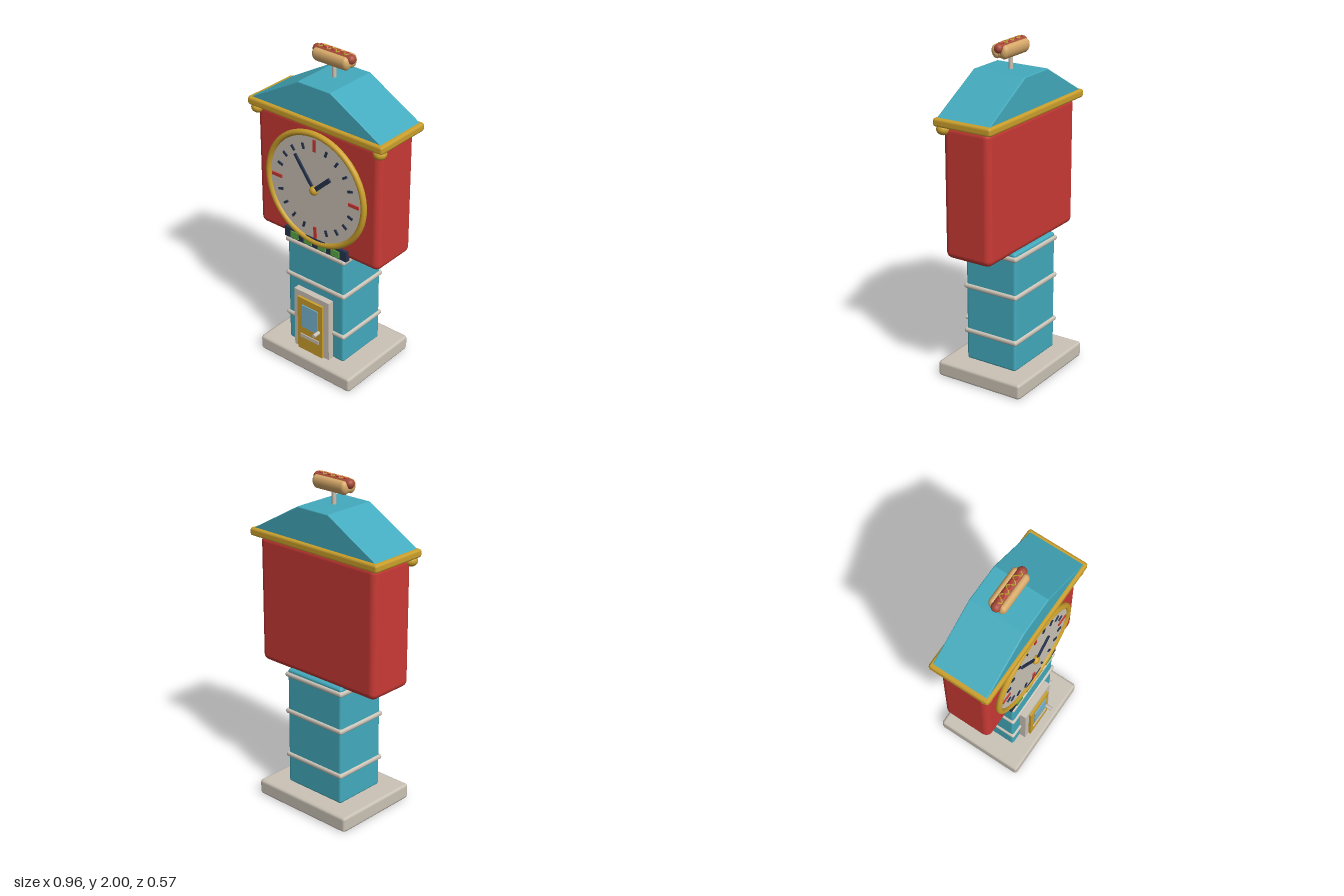
import * as THREE from 'three';
import { RoundedBoxGeometry } from 'three/addons/geometries/RoundedBoxGeometry.js';

function material(name, color) {
  const m = new THREE.MeshStandardMaterial({ color });
  m.name = name;
  return m;
}

export function createModel() {
  const teal = material('teal', 0x43abbe);
  const red = material('red', 0xca3a35);
  const gold = material('gold', 0xcca02c);
  const cream = material('cream', 0xcbc3b6);
  const navy = material('navy', 0x27344e);
  const green = material('green', 0x5aa845);
  const glass = material('glass blue', 0x78b6d2);
  const bun = material('bun tan', 0xd8aa6a);
  const sausage = material('sausage brown', 0xa64a38);
  const mustard = material('mustard', 0xc2a42c);

  const model = new THREE.Group();
  model.name = 'clockTower';

  function add(name, geometry, mat, x, y, z, parent = model) {
    const mesh = new THREE.Mesh(geometry, mat);
    mesh.name = name;
    mesh.position.set(x, y, z);
    parent.add(mesh);
    return mesh;
  }
  const box = (w, h, d) => new THREE.BoxGeometry(w, h, d);
  const rounded = (w, h, d, r, s = 3) => new RoundedBoxGeometry(w, h, d, s, r);

  // Plinth, shaft and its trim bands
  add('base', rounded(0.69, 0.095, 0.57, 0.018, 1), cream, 0, 0.0475, 0);
  add('shaft', rounded(0.42, 0.74, 0.34, 0.015), teal, 0, 0.46, 0);
  for (const y of [0.275, 0.56, 0.795]) {
    add('trimBand', rounded(0.444, 0.03, 0.364, 0.013), cream, 0, y, 0);
  }

  // Clock housing, cornice and front corner knobs
  add('clockHousing', rounded(0.88, 0.78, 0.306, 0.04, 4), red, 0, 1.205, 0);
  add('cornice', rounded(0.96, 0.05, 0.38, 0.016, 1), gold, 0, 1.61, 0);
  for (const side of [-1, 1]) {
    const knob = add('cornerKnob', new THREE.SphereGeometry(0.039, 20, 14), gold, side * 0.435, 1.568, 0.147);
    knob.scale.y = 0.85;
  }

  // Roof: a trapezoid run from front to back
  const slope = new THREE.Shape([
    new THREE.Vector2(-0.452, 1.635), new THREE.Vector2(0.452, 1.635),
    new THREE.Vector2(0.112, 1.825), new THREE.Vector2(-0.112, 1.825),
  ]);
  const roof = new THREE.ExtrudeGeometry(slope, {
    depth: 0.33, bevelEnabled: true, bevelSize: 0.005, bevelThickness: 0.006, bevelSegments: 2,
  });
  add('roof', roof, teal, 0, 0, -0.165);

  // Clock face, rim, ticks and hands
  const clock = new THREE.Group();
  clock.name = 'clock';
  clock.position.set(0, 1.196, 0);
  model.add(clock);
  const disc = (r, depth) => new THREE.CylinderGeometry(r, r, depth, 64).rotateX(Math.PI / 2);
  add('clockFace', disc(0.345, 0.02), cream, 0, 0, 0.158, clock);
  add('clockRim', new THREE.TorusGeometry(0.346, 0.018, 12, 72), gold, 0, 0, 0.166, clock);
  for (let i = 0; i < 20; i++) {
    const major = i % 5 === 0;
    const a = (i / 20) * Math.PI * 2;
    const r = major ? 0.279 : 0.267;
    const tick = add(major ? 'majorTick' : 'minorTick',
      major ? box(0.02, 0.073, 0.008) : box(0.014, 0.036, 0.008),
      major ? red : navy, Math.sin(a) * r, Math.cos(a) * r, 0.171, clock);
    tick.rotation.z = -a;
  }
  function hand(name, x, y, width, z) {
    const length = Math.hypot(x, y);
    const geometry = box(width, length, 0.01).translate(0, length / 2, 0);
    add(name, geometry, navy, 0, 0, z, clock).rotation.z = -Math.atan2(x, y);
  }
  hand('minuteHand', -0.138, 0.187, 0.018, 0.177);
  hand('hourHand', 0.118, 0.112, 0.027, 0.183);
  add('handHub', new THREE.SphereGeometry(0.028, 20, 14), gold, 0, 0, 0.178, clock).scale.z = 0.85;

  // Plaque under the clock
  add('plaque', box(0.46, 0.065, 0.03), navy, 0, 0.843, 0.158);
  for (const x of [-0.152, -0.053, 0.053, 0.152]) {
    add('plaqueTile', box(0.058, 0.042, 0.008), green, x, 0.84, 0.176);
  }

  // Door
  const door = new THREE.Group();
  door.name = 'door';
  model.add(door);
  const frame = new THREE.Shape([
    new THREE.Vector2(-0.132, 0.095), new THREE.Vector2(-0.094, 0.095),
    new THREE.Vector2(-0.094, 0.465), new THREE.Vector2(0.094, 0.465),
    new THREE.Vector2(0.094, 0.095), new THREE.Vector2(0.132, 0.095),
    new THREE.Vector2(0.132, 0.5), new THREE.Vector2(-0.132, 0.5),
  ]);
  add('doorFrame', new THREE.ExtrudeGeometry(frame, { depth: 0.045, bevelEnabled: false }), cream, 0, 0, 0.165, door);
  add('doorPanel', box(0.188, 0.368, 0.058), gold, 0, 0.281, 0.197, door);
  add('doorWindow', box(0.122, 0.157, 0.008), glass, 0.004, 0.343, 0.228, door);
  add('letterSlot', box(0.14, 0.024, 0.008), cream, 0, 0.2, 0.228, door);
  add('doorKnob', new THREE.CylinderGeometry(0.012, 0.012, 0.05, 16).rotateX(Math.PI / 2), cream, 0.068, 0.275, 0.247, door);

  // Rooftop snack on its pole
  const snack = new THREE.Group();
  snack.name = 'rooftopSnack';
  model.add(snack);
  add('pole', new THREE.CylinderGeometry(0.013, 0.013, 0.1, 16), cream, 0, 1.87, 0, snack);
  const capsule = (r, total) => new THREE.CapsuleGeometry(r, total - 2 * r, 8, 20).rotateZ(Math.PI / 2);
  for (const side of [-1, 1]) {
    const half = add('bunHalf', capsule(0.026, 0.25).scale(1, 1.55, 1), bun, 0, 1.945, side * 0.028, snack);
    half.rotation.x = side * 0.2;
  }
  add('bunBottom', capsule(0.025, 0.23), bun, 0, 1.932, 0, snack);
  add('sausage', capsule(0.028, 0.288), sausage, 0, 1.966, 0, snack);

  // Wavy sauces laid over the sausage
  function sauce(name, mat, amplitude, phase, radius) {
    const points = [];
    for (let i = 0; i <= 48; i++) {
      const t = i / 48;
      const z = amplitude * Math.sin(t * Math.PI * 7 + phase);
      points.push(new THREE.Vector3((t - 0.5) * 0.21, 1.966 + Math.sqrt(0.029 ** 2 - z * z), z));
    }
    const path = new THREE.CatmullRomCurve3(points);
    add(name, new THREE.TubeGeometry(path, 96, radius, 6), mat, 0, 0, 0, snack);
  }
  sauce('ketchup', red, 0.01, Math.PI, 0.004);
  sauce('mustardLine', mustard, 0.017, 0, 0.004);

  return model;
}
